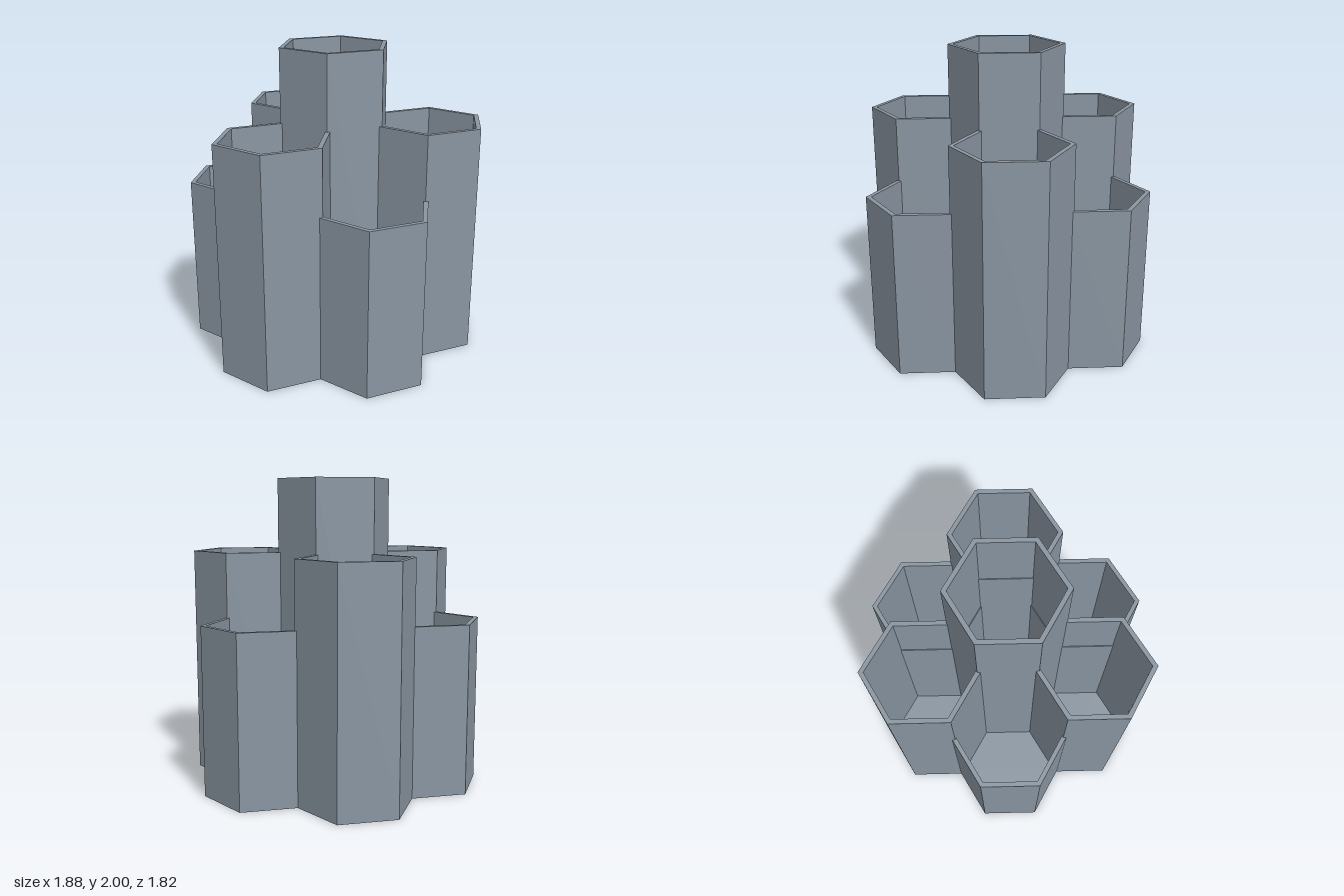
import * as THREE from 'three';

const OUTER = 0.375;   // corner radius of a cell
const INNER = 0.341;   // corner radius of the hollow
const FLOOR = 0.04;    // floor thickness
const SPACING = 0.615; // distance between cell centres

// Open hexagonal cup with crisp facets, corners pointing along z
function hexCup(height) {
  const profile = [
    [0, 0], [OUTER, 0], [OUTER, height], [INNER, height], [INNER, FLOOR], [0, FLOOR],
  ].map(([r, y]) => new THREE.Vector2(r, y));
  const geometry = new THREE.LatheGeometry(profile, 6).toNonIndexed();
  geometry.computeVertexNormals();
  return geometry;
}

export function createModel() {
  const group = new THREE.Group();
  group.name = 'honeycombHolder';

  const slate = new THREE.MeshStandardMaterial({ color: 0x8a96a2 });
  slate.name = 'slateGrey';

  function addCell(name, x, z, height) {
    const cell = new THREE.Mesh(hexCup(height), slate);
    cell.name = name;
    cell.position.set(x, 0, z);
    group.add(cell);
  }

  // Tall cell in the middle
  addCell('centreCell', 0, 0, 2);

  // Ring of six cells, alternating medium and short
  const names = ['leftCell', 'frontLeftCell', 'frontRightCell', 'rightCell', 'backRightCell', 'backLeftCell'];
  names.forEach((name, i) => {
    const angle = (i * Math.PI) / 3;
    addCell(name, SPACING * Math.cos(angle), SPACING * Math.sin(angle), i % 2 ? 1.095 : 1.52);
  });

  return group;
}
